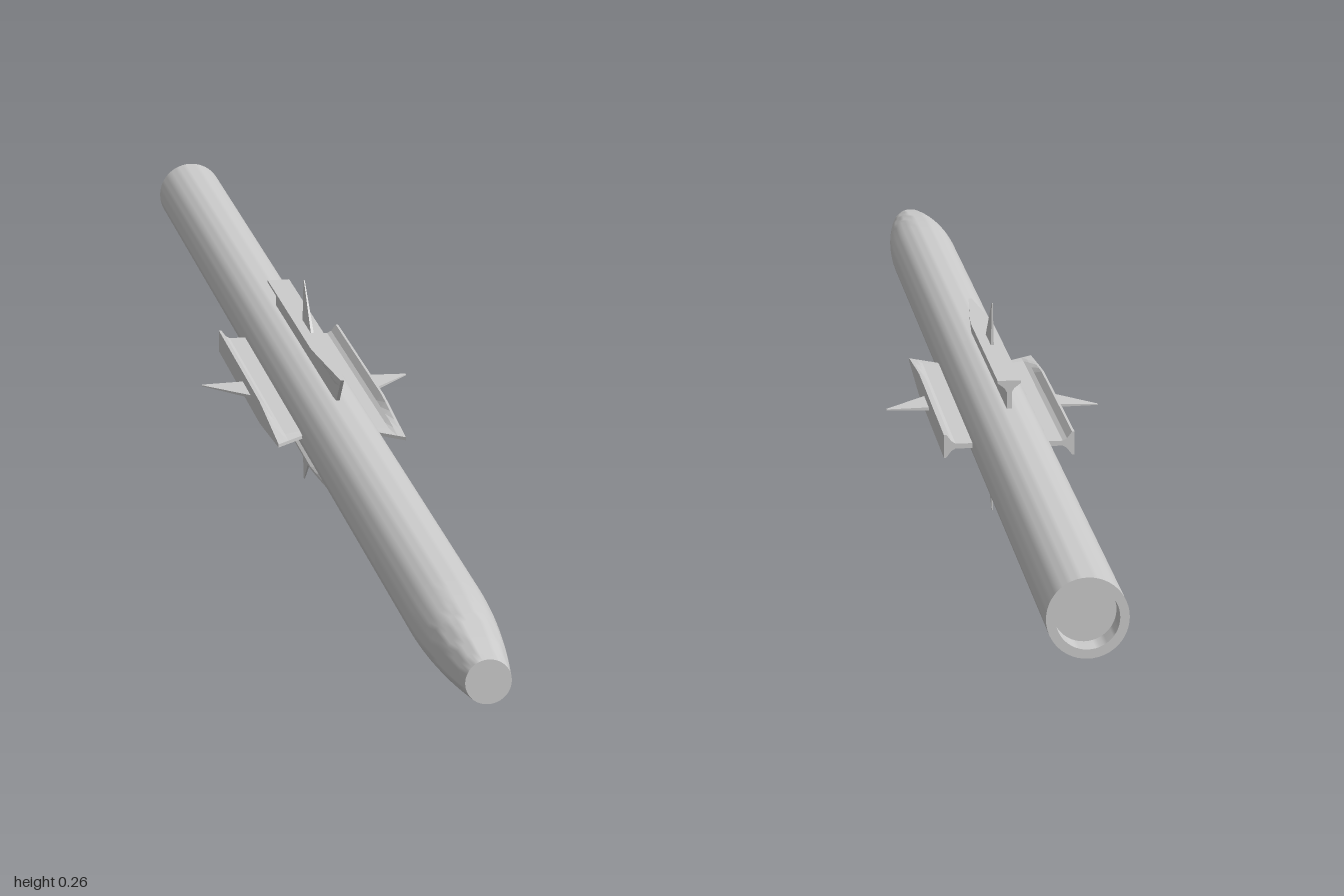
import * as THREE from 'three';
import { toCreasedNormals } from 'three/addons/utils/BufferGeometryUtils.js';

const AXIS_Y = 0.13, R = 0.044;

// Hollow-tailed tube with a blunt curved nose, turned around z
function bodyGeometry() {
  const pts = [[0, -0.97], [0.034, -0.97], [0.034, -1], [R, -1], [R, 0.78]];
  for (let i = 1; i <= 10; i++) {
    const t = i / 10;
    pts.push([R - 0.019 * Math.pow(t, 1.9), 0.78 + 0.22 * t]);
  }
  pts.push([0, 1]);
  const geo = new THREE.LatheGeometry(pts.map(p => new THREE.Vector2(...p)), 48);
  geo.rotateX(Math.PI / 2);
  return toCreasedNormals(geo, 0.6);
}

// Long strake: thin web with a flared outer rail that narrows to a point in front
function strakeGeometry() {
  const half = [[0.003, 0.04], [0.003, 0.064], [0.006, 0.069], [0.014, 0.075], [0.014, 0.078]];
  const outline = [...half, ...half.slice().reverse().map(([x, y]) => [-x, y])];
  const shape = new THREE.Shape(outline.map(p => new THREE.Vector2(...p)));
  const length = 0.445;
  const geo = new THREE.ExtrudeGeometry(shape, { depth: length, steps: 16, bevelEnabled: false });
  const pos = geo.attributes.position;
  for (let i = 0; i < pos.count; i++) {
    const x = pos.getX(i), y = pos.getY(i), t = pos.getZ(i) / length;
    const limit = 0.002 + 0.012 * Math.min(1, (1 - t) / 0.3);
    pos.setX(i, Math.sign(x) * Math.min(Math.abs(x), limit));
    // Front end leans forward towards the rail
    const lean = Math.max(0, (t - 0.85) / 0.15) * (y - 0.078) * 0.85;
    pos.setZ(i, -0.27 + t * length + lean);
  }
  geo.computeVertexNormals();
  return geo;
}

// Small swept fin with a straight trailing edge, thinning to its tip
function finGeometry() {
  const shape = new THREE.Shape();
  shape.moveTo(-0.085, 0.07);
  shape.lineTo(-0.018, 0.07);
  shape.lineTo(-0.082, 0.13);
  shape.lineTo(-0.085, 0.13);
  const geo = new THREE.ExtrudeGeometry(shape, { depth: 0.004, bevelEnabled: false });
  geo.translate(0, 0, -0.002);
  geo.rotateY(-Math.PI / 2);
  const pos = geo.attributes.position;
  for (let i = 0; i < pos.count; i++) {
    pos.setX(i, pos.getX(i) * (1 - 0.7 * (pos.getY(i) - 0.07) / 0.06));
  }
  geo.computeVertexNormals();
  return geo;
}

export function createModel() {
  const model = new THREE.Group();
  model.name = 'missile';
  const material = new THREE.MeshStandardMaterial({ color: 0xcccccc });
  const add = (parent, name, geometry) => {
    const mesh = new THREE.Mesh(geometry, material);
    mesh.name = name;
    parent.add(mesh);
  };

  const airframe = new THREE.Group();
  airframe.name = 'airframe';
  airframe.position.y = AXIS_Y;
  model.add(airframe);
  add(airframe, 'body', bodyGeometry());

  // Four identical wings around the body
  const strake = strakeGeometry(), fin = finGeometry();
  for (let i = 0; i < 4; i++) {
    const wing = new THREE.Group();
    wing.name = `wing${i + 1}`;
    wing.rotation.z = i * Math.PI / 2;
    add(wing, 'strake', strake);
    add(wing, 'fin', fin);
    airframe.add(wing);
  }
  return model;
}
